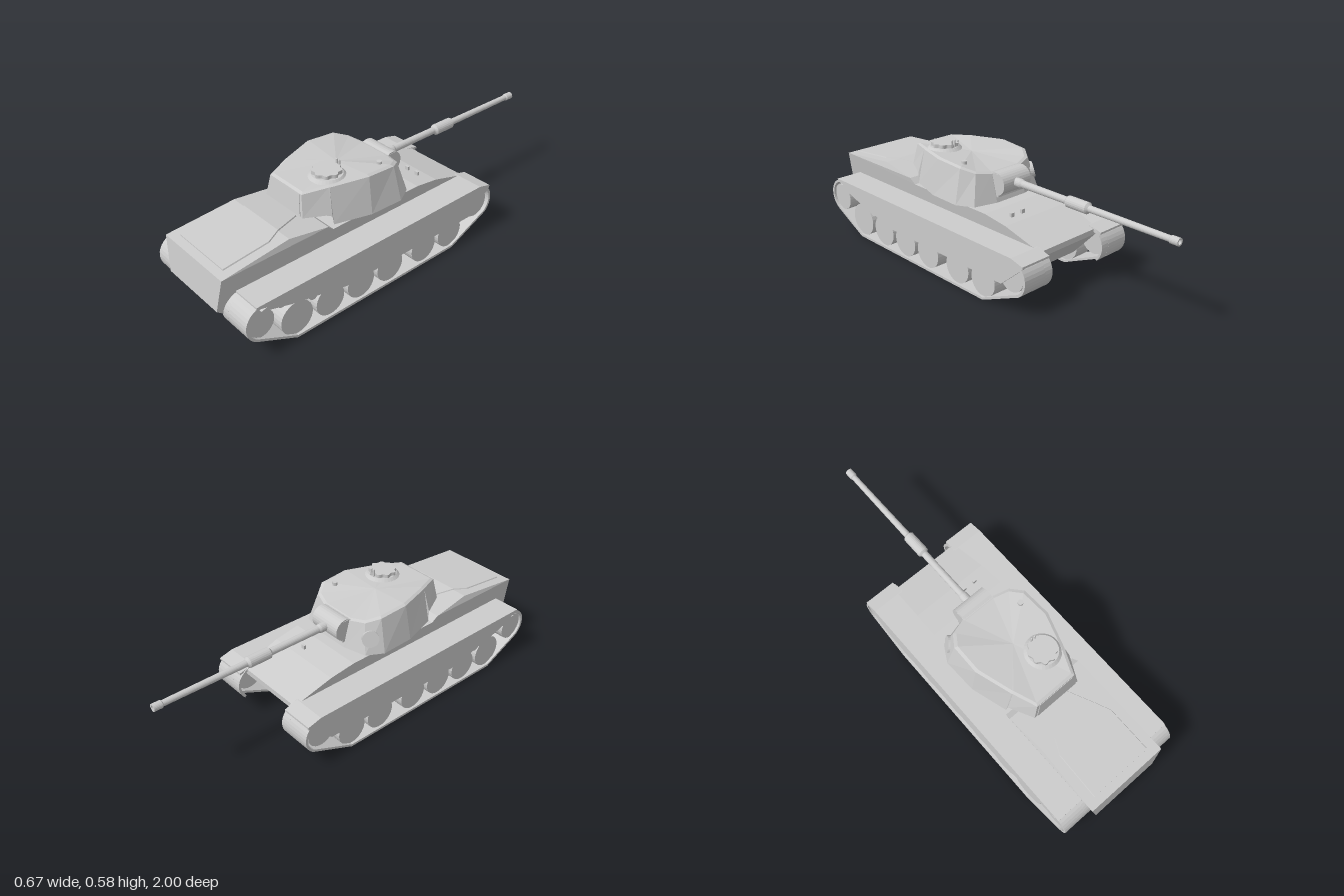
import * as THREE from 'three';

const material = new THREE.MeshStandardMaterial({ color: 0xcccccc, flatShading: true, side: THREE.DoubleSide });

function add(parent, name, geometry, x = 0, y = 0, z = 0) {
  const mesh = new THREE.Mesh(geometry, material);
  mesh.name = name;
  mesh.position.set(x, y, z);
  parent.add(mesh);
  return mesh;
}

const toShape = (points) => new THREE.Shape(points.map(([a, b]) => new THREE.Vector2(a, b)));

// Extrudes a side profile, given as (z, y), across x0..x1
function sideExtrude(shape, x0, x1) {
  const g = new THREE.ExtrudeGeometry(shape, { depth: x1 - x0, bevelEnabled: false });
  return g.rotateY(-Math.PI / 2).translate(x1, 0, 0);
}

// Cylinder lying along x
const axle = (r, width, sides = 28) => new THREE.CylinderGeometry(r, r, width, sides).rotateZ(Math.PI / 2);

// Skins a row of equal-sized rings and closes both ends
function loft(rings) {
  const n = rings[0].length;
  const pos = rings.flat(2);
  const index = [];
  for (let i = 0; i < rings.length - 1; i++) {
    for (let j = 0; j < n; j++) {
      const a = i * n + j, b = i * n + (j + 1) % n;
      index.push(a, b, b + n, a, b + n, a + n);
    }
  }
  for (const end of [0, rings.length - 1]) {
    const centre = pos.length / 3, base = end * n;
    for (let k = 0; k < 3; k++) pos.push(rings[end].reduce((s, p) => s + p[k], 0) / n);
    for (let j = 0; j < n; j++) {
      const a = base + j, b = base + (j + 1) % n;
      index.push(centre, ...(end ? [a, b] : [b, a]));
    }
  }
  const g = new THREE.BufferGeometry();
  g.setAttribute('position', new THREE.Float32BufferAttribute(pos, 3));
  g.setIndex(index);
  g.computeVertexNormals();
  return g;
}

function arc(cz, cy, r, from, to, steps = 14) {
  const points = [];
  for (let i = 0; i <= steps; i++) {
    const a = THREE.MathUtils.degToRad(from + (to - from) * i / steps);
    points.push([cz + r * Math.cos(a), cy + r * Math.sin(a)]);
  }
  return points;
}

const REAR = [0.878, 0.181], FRONT = [-0.393, 0.179];

// Track outline, moved inwards by t
const trackLoop = (t) => [
  [-0.22, t + 0.002], [0.72, t + 0.002],
  ...arc(...REAR, 0.09 - t, -62, 90),
  ...arc(...FRONT, 0.093 - t, 90, 233),
];

function buildHull(parent) {
  const hull = sideExtrude(toShape([
    [0.9, 0.11], [1.0, 0.205], [0.98, 0.37], [0.64, 0.402], [0.44, 0.372], [0.41, 0.345],
    [-0.1, 0.345], [-0.23, 0.325], [-0.43, 0.262], [-0.43, 0.235], [-0.32, 0.11],
  ].reverse()), -1, 1);
  // Sides lean out towards the deck, and in again above it
  const p = hull.attributes.position;
  for (let i = 0; i < p.count; i++) {
    const y = p.getY(i);
    const half = y > 0.37 ? 0.21 - (y - 0.37) * 0.3 : 0.16 + (y - 0.11) * 0.192;
    p.setX(i, Math.sign(p.getX(i)) * half);
  }
  hull.computeVertexNormals();
  add(parent, 'hull', hull);

  // Raised engine deck panel
  add(parent, 'engineDeckPanel', loft(
    [[0.5, 0.07, 0.381], [0.64, 0.13, 0.402], [0.71, 0.163, 0.3955], [0.94, 0.167, 0.374]].map(([z, x, y]) => [
      [-x, y - 0.01, z], [x, y - 0.01, z], [x - 0.008, y + 0.005, z], [0.008 - x, y + 0.005, z],
    ])));

  for (const x of [0.05, 0.115]) {
    add(parent, 'driverPeriscope', new THREE.BoxGeometry(0.02, 0.022, 0.012), x, 0.34, -0.185);
  }
}

function buildRunningGear(side) {
  const gear = new THREE.Group();
  gear.name = side > 0 ? 'leftRunningGear' : 'rightRunningGear';

  // Track with a hollow middle
  const track = toShape(trackLoop(0));
  track.holes.push(new THREE.Path(trackLoop(0.012).map(([a, b]) => new THREE.Vector2(a, b))));
  const place = (name, shape, x0, x1) =>
    add(gear, name, side > 0 ? sideExtrude(shape, x0, x1) : sideExtrude(shape, -x1, -x0));
  place('track', track, 0.21, 0.333);

  // Inner guards that widen the track at both ends
  const guard = (c, r, a, b) => toShape([...arc(...c, r, a, b), ...arc(...c, r - 0.012, b, a)]);
  place('rearTrackGuard', guard(REAR, 0.09, -52, 90), 0.165, 0.21);
  place('frontTrackGuard', guard(FRONT, 0.093, 90, 228), 0.165, 0.21);

  // Fender top and hanging side skirt
  place('fender', toShape([[0.91, 0.262], [0.91, 0.273], [-0.4, 0.273], [-0.47, 0.255], [-0.47, 0.245], [-0.4, 0.262]]), 0.17, 0.333);
  place('sideSkirt', toShape([
    [0.91, 0.273], [0.91, 0.262], [0.86, 0.25], [0.89, 0.243], [0.75, 0.2], [0.45, 0.13],
    [-0.34, 0.13], [-0.47, 0.243], [-0.47, 0.255], [-0.4, 0.273],
  ]), 0.322, 0.334);

  // Road wheels, then the two end wheels
  const wheels = [
    [0.71, 0.097, 0.083], [0.53, 0.09, 0.077], [0.355, 0.09, 0.077], [0.18, 0.09, 0.077],
    [-0.035, 0.09, 0.077], [-0.21, 0.09, 0.077], [0.893, 0.172, 0.07], [-0.39, 0.178, 0.072],
  ];
  for (const [z, y, r] of wheels) add(gear, 'wheel', axle(r, 0.1), side * 0.27, y, z);
  for (const [z, y] of [[0.62, 0.165], [0.78, 0.215]]) {
    add(gear, 'returnRoller', axle(0.022, 0.1, 16), side * 0.27, y, z);
  }
  return gear;
}

function buildTurret() {
  const turret = new THREE.Group();
  turret.name = 'turret';

  // Half plan from rear to front: lower edge x, y, z and upper edge x, y, z
  const half = [
    [0.13, 0.41, 0.515, 0.11, 0.513, 0.5],
    [0.188, 0.405, 0.4, 0.155, 0.523, 0.39],
    [0.192, 0.355, 0.395, 0.158, 0.523, 0.385],
    [0.245, 0.355, 0.22, 0.214, 0.53, 0.21],
    [0.25, 0.355, 0.05, 0.21, 0.52, 0.06],
    [0.205, 0.355, -0.03, 0.168, 0.5, 0.0],
    [0.09, 0.355, -0.06, 0.09, 0.488, -0.025],
  ];
  const ring = (f) => [...half.map(f), ...half.map(f).reverse().map(([x, y, z]) => [-x, y, z])];
  add(turret, 'turretShell', loft([
    ring((p) => p.slice(0, 3)),
    ring((p) => p.slice(3)),
    ring((p) => [p[3] * 0.93, p[4] + 0.006, 0.22 + (p[5] - 0.22) * 0.95]),
  ]));
  add(turret, 'turretRing', new THREE.CylinderGeometry(0.2, 0.2, 0.03, 40), 0, 0.348, 0.2);

  // Plate on the back of the turret
  const plate = new THREE.ExtrudeGeometry(
    toShape([[-0.115, 0], [0.115, 0], [0.096, 0.098], [-0.096, 0.098]]), { depth: 0.006, bevelEnabled: false });
  add(turret, 'rearPlate', plate, 0, 0.412, 0.512).rotation.x = -0.15;

  // Round cover on the right cheek
  const cover = add(turret, 'cheekCover', new THREE.CylinderGeometry(0.04, 0.04, 0.02, 24), -0.2, 0.43, 0.005);
  cover.quaternion.setFromUnitVectors(new THREE.Vector3(0, 1, 0), new THREE.Vector3(-0.82, 0.25, -0.6).normalize());

  // Gun mantlet
  add(turret, 'mantletHousing', new THREE.BoxGeometry(0.176, 0.11, 0.06), 0, 0.437, -0.035);
  add(turret, 'mantlet', axle(0.055, 0.172), 0, 0.443, -0.047);

  // Barrel with fume extractor and muzzle collar
  const profile = [
    [0, 0.06], [0.024, 0.06], [0.022, 0.13], [0.018, 0.14], [0.017, 0.41], [0.027, 0.42], [0.027, 0.53],
    [0.016, 0.54], [0.014, 0.955], [0.018, 0.96], [0.018, 1.0], [0.011, 1.0], [0.011, 0.96], [0, 0.96],
  ].map(([r, l]) => new THREE.Vector2(r, l));
  add(turret, 'gunBarrel', new THREE.LatheGeometry(profile, 20).rotateX(-Math.PI / 2), 0, 0.444, 0);

  // Commander's cupola with a scalloped rim
  const rim = [];
  for (let i = 0; i < 72; i++) {
    const a = i / 72 * Math.PI * 2, r = 0.064 + 0.005 * Math.cos(9 * a);
    rim.push([r * Math.cos(a), r * Math.sin(a)]);
  }
  const drum = new THREE.ExtrudeGeometry(toShape(rim), { depth: 0.022, bevelEnabled: false }).rotateX(-Math.PI / 2);
  add(turret, 'cupolaBase', new THREE.CylinderGeometry(0.072, 0.086, 0.014, 32), 0.075, 0.533, 0.33);
  add(turret, 'cupola', drum, 0.072, 0.535, 0.33);
  for (const x of [0.064, 0.081]) {
    add(turret, 'cupolaSight', new THREE.CapsuleGeometry(0.005, 0.03, 4, 10), x, 0.56, 0.266);
  }

  // Roof vent
  add(turret, 'roofVent', new THREE.CylinderGeometry(0.013, 0.013, 0.026, 16), 0.153, 0.524, 0.095);
  return turret;
}

export function createModel() {
  const model = new THREE.Group();
  model.name = 'tank';
  buildHull(model);
  for (const side of [1, -1]) model.add(buildRunningGear(side));
  model.add(buildTurret());
  return model;
}
